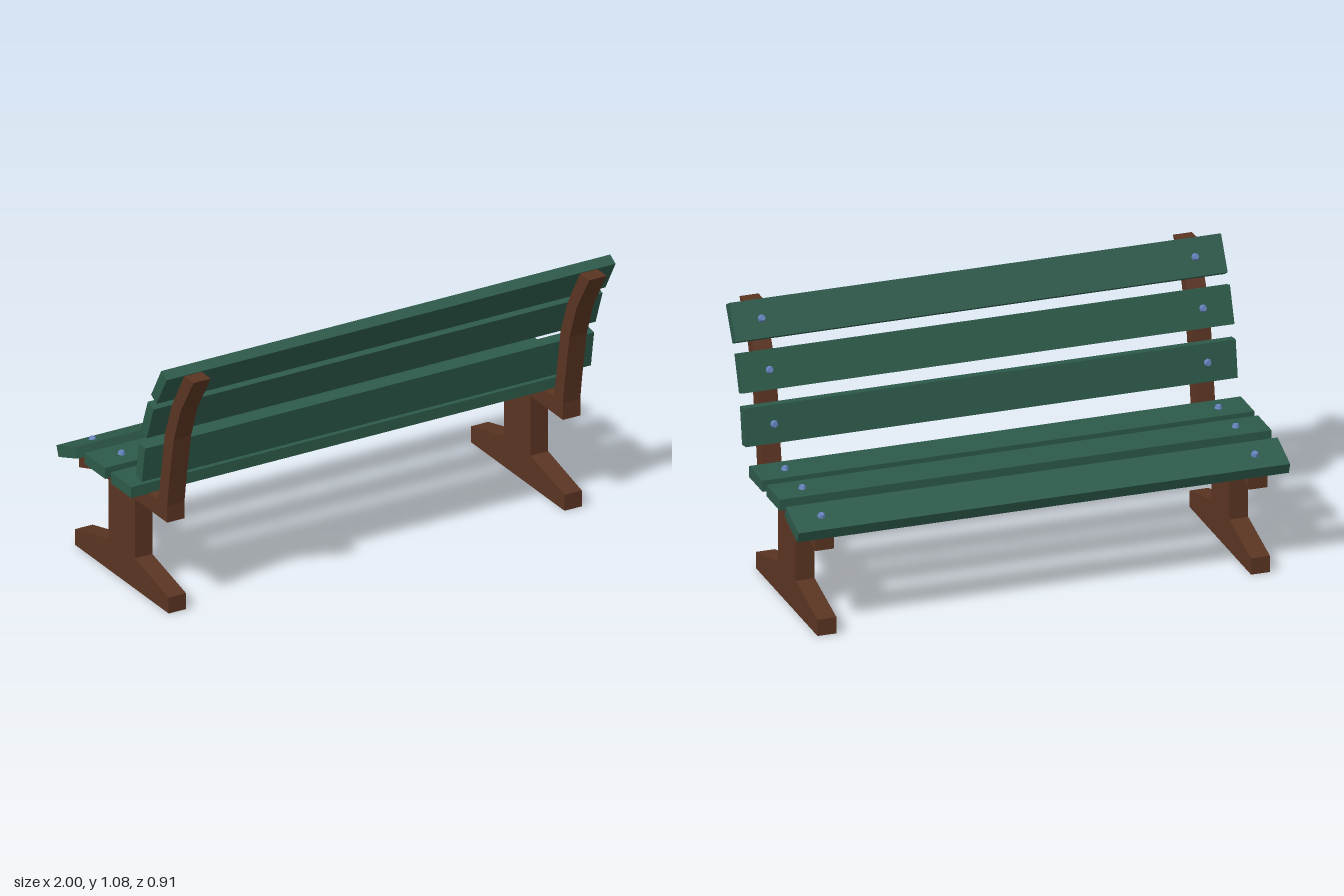
import * as THREE from 'three';

const green = new THREE.MeshStandardMaterial({ name: 'green painted wood', color: 0x2d5a4a });
const brown = new THREE.MeshStandardMaterial({ name: 'brown frame', color: 0x5a3422 });
const blue = new THREE.MeshStandardMaterial({ name: 'blue steel', color: 0x6482be, flatShading: true });

const FRAME_X = 0.878, FRAME_W = 0.077;
const SLAT_LENGTH = 1.992, SLAT_W = 0.152, SLAT_T = 0.046;

// Side profile of one frame as [z, y]: foot, column, seat beam and curved back post
const PROFILE = [
  [0.261, 0], [0.261, 0.067], [0.009, 0.129], [0.009, 0.38], [0.249, 0.38], [0.249, 0.451],
  [0.263, 0.551], [0.298, 0.751], [0.349, 0.894], [0.446, 1.054],
  [0.377, 1.054], [0.285, 0.894], [0.232, 0.751], [0.2, 0.551], [0.183, 0.451],
  [-0.282, 0.451], [-0.409, 0.405], [-0.409, 0.341], [-0.291, 0.38],
  [-0.19, 0.38], [-0.19, 0.129], [-0.437, 0.067], [-0.437, 0],
];

// Slats: centre z and y, and the tilt of the outward face from straight up towards -z (degrees)
const SLATS = [
  ['seatSlatRear', 0.039, 0.471, 0],
  ['seatSlatMiddle', -0.156, 0.471, 0],
  ['seatSlatFront', -0.364, 0.444, 20],
  ['backSlatLower', 0.184, 0.629, 81],
  ['backSlatMiddle', 0.234, 0.829, 70],
  ['backSlatTop', 0.321, 1.003, 60],
];

function makeFrame(x, name) {
  const shape = new THREE.Shape(PROFILE.map(([z, y]) => new THREE.Vector2(z, y)));
  const geo = new THREE.ExtrudeGeometry(shape, { depth: FRAME_W, bevelEnabled: false });
  geo.translate(0, 0, -FRAME_W / 2);
  geo.rotateY(-Math.PI / 2); // profile into the zy plane
  const mesh = new THREE.Mesh(geo, brown);
  mesh.name = name;
  mesh.position.x = x;
  return mesh;
}

// A plank with one bolt head above each frame
function makeSlat([name, z, y, tilt]) {
  const slat = new THREE.Group();
  slat.name = name;
  const plank = new THREE.Mesh(new THREE.BoxGeometry(SLAT_LENGTH, SLAT_T, SLAT_W), green);
  plank.name = name + 'Plank';
  slat.add(plank);
  for (const side of [-1, 1]) {
    const bolt = new THREE.Mesh(new THREE.CylinderGeometry(0.011, 0.016, 0.013, 8), blue);
    bolt.name = side > 0 ? 'boltLeft' : 'boltRight';
    bolt.position.set(side * FRAME_X, SLAT_T / 2 + 0.006, 0);
    slat.add(bolt);
  }
  slat.position.set(0, y, z);
  slat.rotation.x = -THREE.MathUtils.degToRad(tilt);
  return slat;
}

export function createModel() {
  const bench = new THREE.Group();
  bench.name = 'parkBench';
  bench.add(makeFrame(FRAME_X, 'frameLeft'), makeFrame(-FRAME_X, 'frameRight'));
  for (const slat of SLATS) bench.add(makeSlat(slat));
  bench.rotation.y = -0.009; // the bench stands very slightly askew
  const model = new THREE.Group();
  model.name = 'bench';
  model.add(bench);
  return model;
}
